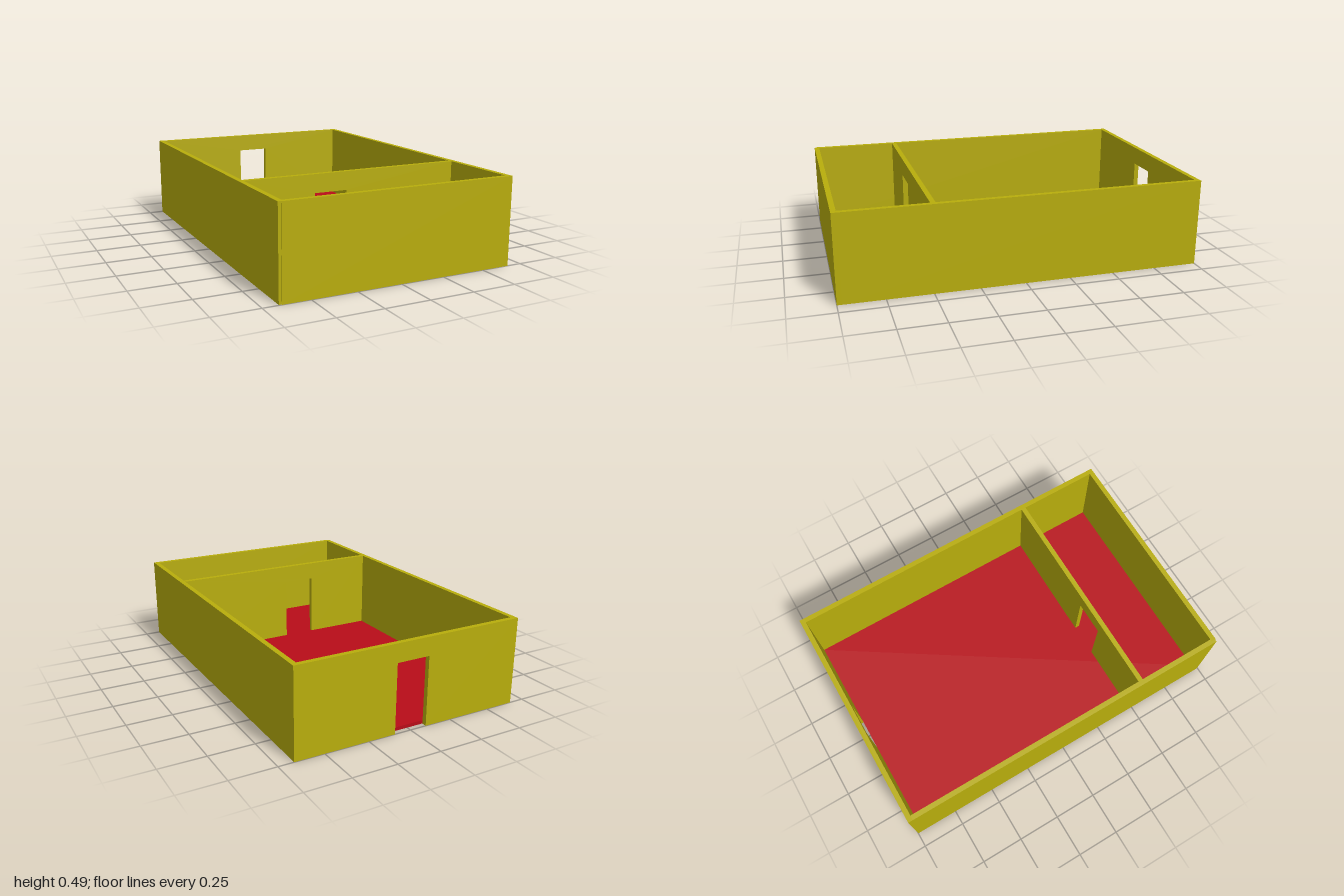
import * as THREE from 'three';

const W = 0.665, L = 1, H = 0.49, T = 0.028; // half width, half length, wall height, wall thickness
const DOOR_W = 0.19, DOOR_H = 0.387;

export function createModel() {
  const house = new THREE.Group();
  house.name = 'house';
  const wallMat = new THREE.MeshStandardMaterial({ color: 0xb8ad0c });
  const floorMat = new THREE.MeshStandardMaterial({ color: 0xb80d18 });

  const add = (name, geometry, material) => {
    const mesh = new THREE.Mesh(geometry, material);
    mesh.name = name;
    house.add(mesh);
  };

  const box = (name, x0, x1, y0, y1, z0, z1, material) => {
    const g = new THREE.BoxGeometry(x1 - x0, y1 - y0, z1 - z0);
    g.translate((x0 + x1) / 2, (y0 + y1) / 2, (z0 + z1) / 2);
    add(name, g, material);
  };

  // Wall across the width with a doorway notched up from the ground
  const doorWall = (name, x0, x1, z0, doorX) => {
    const a = doorX - DOOR_W / 2, b = doorX + DOOR_W / 2;
    const outline = [[x0, 0], [a, 0], [a, DOOR_H], [b, DOOR_H], [b, 0], [x1, 0], [x1, H], [x0, H]];
    const shape = new THREE.Shape(outline.map(([x, y]) => new THREE.Vector2(x, y)));
    const g = new THREE.ExtrudeGeometry(shape, { depth: T, bevelEnabled: false });
    g.translate(0, 0, z0);
    add(name, g, wallMat);
  };

  // Outer walls; the right wall stops just short of the front face
  doorWall('backWall', -W, W, -L, 0);
  box('frontWall', -0.65, W, 0, H, L - T, L, wallMat);
  box('rightWall', -W, -W + T, 0, H, -L + T, L - 0.005, wallMat);
  box('leftWall', W - T, W, 0, H, -L + T, L - T, wallMat);

  // Inner partition with its doorway
  doorWall('partition', -W + T, W - T, 0.478, -0.143);

  // Floor slab inside the walls, raised a hair so the wall feet show below
  box('floor', -W + T, W - T, 0.001, 0.02, -L + T, L - T, floorMat);

  return house;
}
